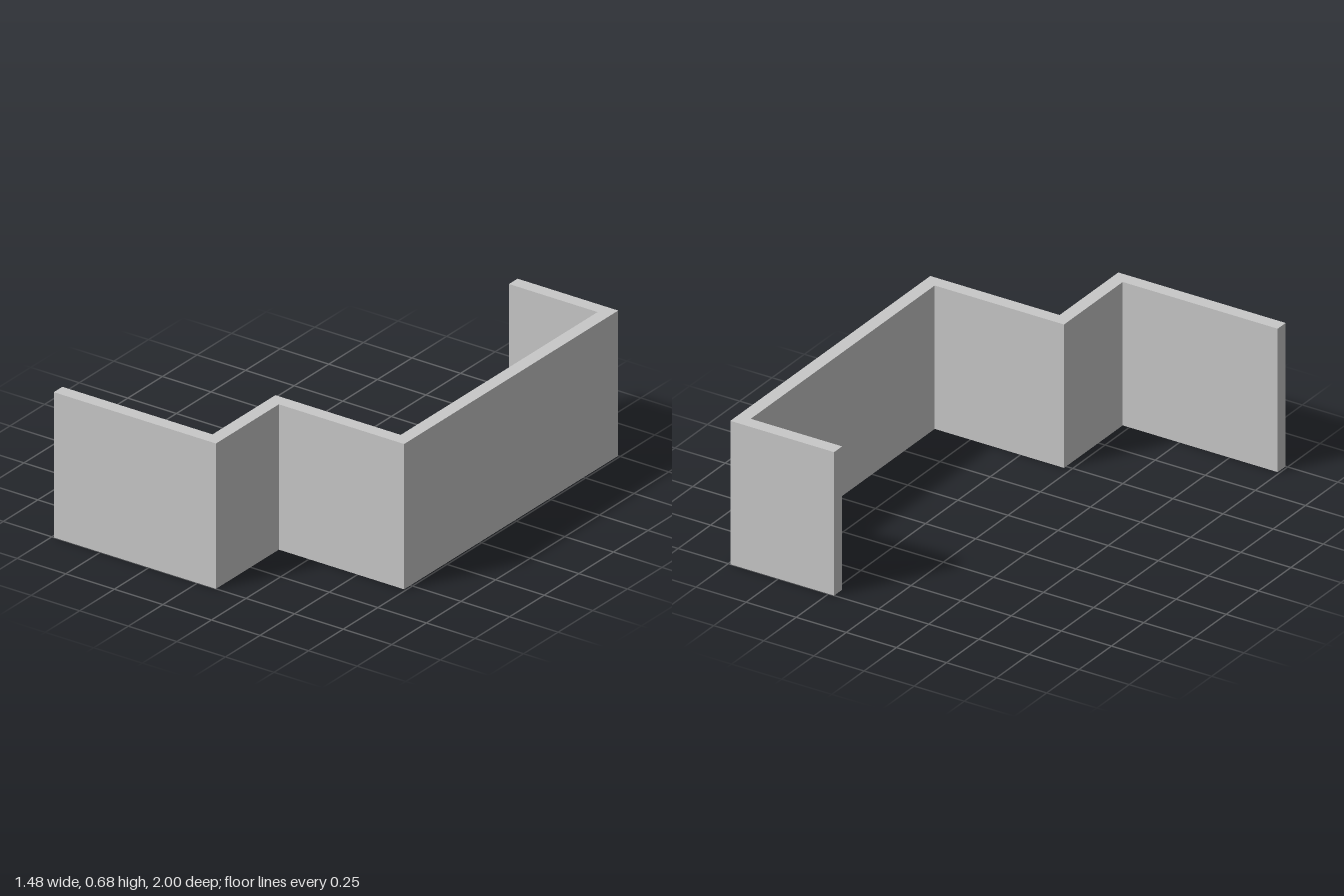
import * as THREE from 'three';

const HEIGHT = 0.68;
const THICKNESS = 0.062;

// Outer face of the stepped wall in plan, as [x, z]
const OUTER = [[-0.74, 1], [0.095, 1], [0.095, 0.546], [0.74, 0.546], [0.74, -1], [0.222, -1]];

// Offsets a right-angled plan path inwards, mitring each corner
function offsetPath(path, distance) {
  const normals = path.slice(1).map(([x, z], i) => {
    const dx = x - path[i][0], dz = z - path[i][1];
    const length = Math.hypot(dx, dz);
    return [dz / length, -dx / length];
  });
  return path.map(([x, z], i) => {
    const before = normals[i - 1] ?? [0, 0];
    const after = normals[i] ?? [0, 0];
    return [x + (before[0] + after[0]) * distance, z + (before[1] + after[1]) * distance];
  });
}

export function createModel() {
  const group = new THREE.Group();
  group.name = 'steppedWall';
  const lightGrey = new THREE.MeshStandardMaterial({ color: 0xc8c8c8 });
  lightGrey.name = 'light grey';

  // Closed plan outline: outer face forwards, inner face back
  const outline = [...OUTER, ...offsetPath(OUTER, THICKNESS).reverse()];
  const shape = new THREE.Shape(outline.map(([x, z]) => new THREE.Vector2(x, -z)));

  // Raise the plan to the wall height
  const geometry = new THREE.ExtrudeGeometry(shape, { depth: HEIGHT, bevelEnabled: false });
  geometry.rotateX(-Math.PI / 2);

  const wall = new THREE.Mesh(geometry, lightGrey);
  wall.name = 'wall';
  group.add(wall);
  return group;
}
